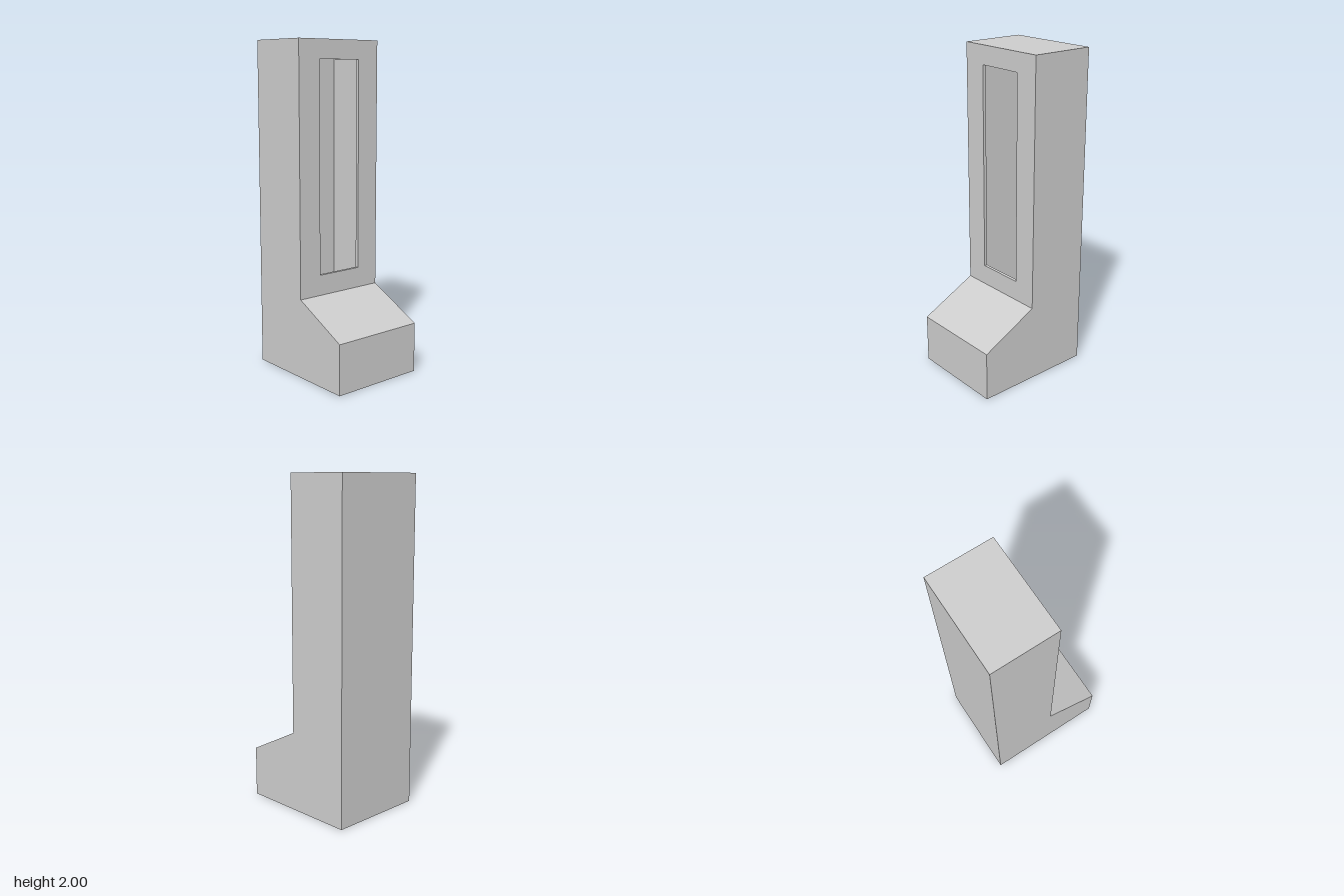
import * as THREE from 'three';
import { mergeGeometries } from 'three/addons/utils/BufferGeometryUtils.js';

const grey = new THREE.MeshStandardMaterial({ color: 0xcccccc, side: THREE.DoubleSide });
grey.name = 'grey';

// Side profiles as [z, y]; the casing is a hollow shell open underneath
const OUTER = [[0.38, 0], [0.38, 0.305], [0.025, 0.485], [0.025, 2], [-0.38, 2], [-0.38, 0]];
const INNER = [[0.36, 0], [0.36, 0.293], [0.005, 0.473], [0.005, 1.98], [-0.36, 1.98], [-0.36, 0]];
const SLOT = [[-0.15, 0.61], [0.15, 0.61], [0.15, 1.885], [-0.15, 1.885]];
const NAMES = ['baseFront', 'slopedLedge', 'slottedFront', 'top', 'back'];

const outline = (pts) => new THREE.Shape(pts.map(([x, y]) => new THREE.Vector2(x, y)));
const rect = (w, lo, hi) => [[-w, lo], [w, lo], [w, hi], [-w, hi]];

function framed(pts, hole) {
  const shape = outline(pts);
  shape.holes.push(outline(hole));
  return new THREE.ShapeGeometry(shape);
}

// Flat four-cornered face, corners anticlockwise as seen from its front
function quad(a, b, c, d) {
  const g = new THREE.BufferGeometry();
  g.setAttribute('position', new THREE.Float32BufferAttribute([a, b, c, d].flat(), 3));
  g.setIndex([0, 1, 2, 0, 2, 3]);
  g.computeVertexNormals();
  return g;
}

// One skin of the shell, facing outward (dir = 1) or inward (dir = -1)
function skin(label, profile, w, dir) {
  const group = new THREE.Group();
  group.name = label;
  const add = (name, geometry) => {
    const mesh = new THREE.Mesh(geometry, grey);
    mesh.name = name;
    group.add(mesh);
  };
  NAMES.forEach((name, i) => {
    const [az, ay] = profile[i];
    const [bz, by] = profile[i + 1];
    if (name === 'slottedFront') {
      const panel = framed(rect(w, ay, by), SLOT);
      if (dir < 0) panel.rotateY(Math.PI); // symmetrical, so turning it flips the facing
      add(name, panel.translate(0, 0, az));
    } else {
      const corners = [[w, ay, az], [w, by, bz], [-w, by, bz], [-w, ay, az]];
      add(name, quad(...(dir > 0 ? corners : corners.reverse())));
    }
  });
  // Side walls
  for (const side of [1, -1]) {
    const facing = side * dir;
    const g = new THREE.ShapeGeometry(outline(profile.map(([z, y]) => [-facing * z, y])));
    add(side > 0 ? 'leftSide' : 'rightSide', g.rotateY(facing * Math.PI / 2).translate(side * w, 0, 0));
  }
  return group;
}

export function createModel() {
  const model = new THREE.Group();
  model.name = 'casing';
  model.add(skin('outerShell', OUTER, 0.3, 1), skin('innerShell', INNER, 0.28, -1));

  // Rim around the open underside
  const rim = new THREE.Mesh(framed(rect(0.3, -0.38, 0.38), rect(0.28, -0.36, 0.36)).rotateX(Math.PI / 2), grey);
  rim.name = 'bottomRim';

  // Edges of the slot through the front wall
  const edges = SLOT.map((p, i) => {
    const q = SLOT[(i + 1) % 4];
    return quad([...p, 0.025], [...q, 0.025], [...q, 0.005], [...p, 0.005]);
  });
  const slot = new THREE.Mesh(mergeGeometries(edges), grey);
  slot.name = 'slotEdges';

  model.add(rim, slot);
  return model;
}
